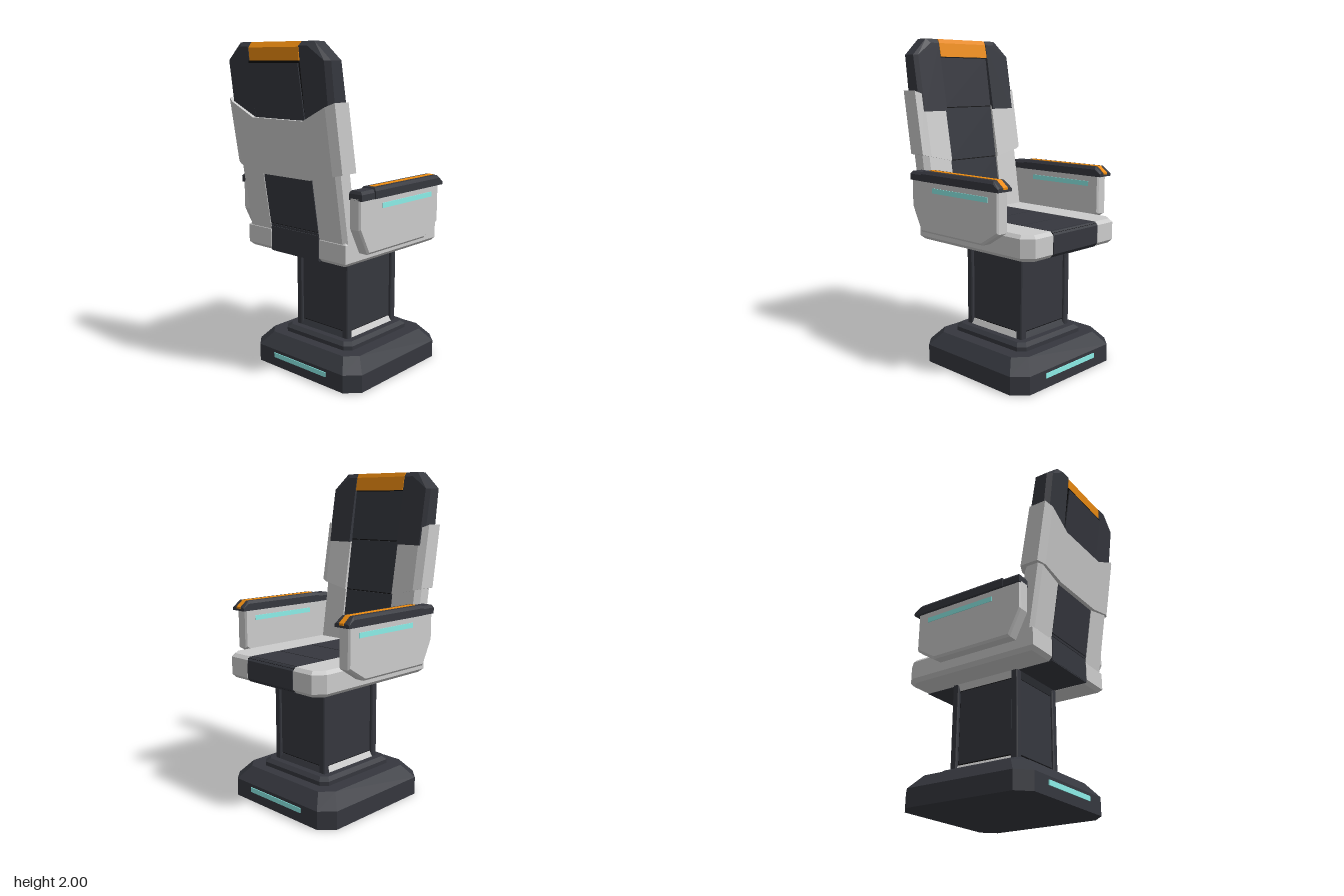
import * as THREE from 'three';
import { ConvexGeometry } from 'three/addons/geometries/ConvexGeometry.js';

const mat = (color) => new THREE.MeshStandardMaterial({ color, flatShading: true });
const grey = mat(0xcccccc), dark = mat(0x35373e), black = mat(0x0c0c0e);
const orange = mat(0xec8b10), teal = mat(0x8ceee8);

export function createModel() {
  const model = new THREE.Group();

  const add = (name, geometry, material) => {
    const mesh = new THREE.Mesh(geometry, material);
    mesh.name = name;
    model.add(mesh);
    return mesh;
  };
  // Convex solid from corner points [x, y, z]
  const hull = (name, material, pts) =>
    add(name, new ConvexGeometry(pts.map((p) => new THREE.Vector3(...p))), material);
  // Box given by its limits
  const box = (name, material, x0, x1, y0, y1, z0, z1) => {
    const g = new THREE.BoxGeometry(x1 - x0, y1 - y0, z1 - z0);
    return add(name, g.translate((x0 + x1) / 2, (y0 + y1) / 2, (z0 + z1) / 2), material);
  };
  // Stack of corner-cut rectangles [y, halfX, halfZ, cut] around a vertical axis
  const tier = (name, material, cx, layers) =>
    hull(name, material, layers.flatMap(([y, hx, hz, c]) =>
      [-1, 1].flatMap((i) => [-1, 1].flatMap((k) => [
        [cx + i * hx, y, k * (hz - c)], [cx + i * (hx - c), y, k * hz]]))));

  // Base and plinth
  const cx = 0.073;
  tier('base', dark, cx, [[0, 0.435, 0.435, 0.08], [0.11, 0.435, 0.435, 0.08], [0.19, 0.365, 0.365, 0.07]]);
  tier('plinth', dark, cx, [[0.18, 0.3, 0.28, 0.04], [0.215, 0.3, 0.28, 0.04], [0.235, 0.275, 0.255, 0.035]]);
  for (const s of [-1, 1]) {
    const x = cx + s * 0.436;
    box('baseLight', teal, x - 0.004, x + 0.004, 0.06, 0.09, -0.22, 0.22);
  }

  // Column: core, corner posts, sloped rails and framed panels
  box('columnCore', black, cx - 0.215, cx + 0.215, 0.23, 0.78, -0.195, 0.195);
  for (const s of [-1, 1]) {
    for (const t of [-1, 1]) {
      const px = cx + s * 0.213, pz = t * 0.193;
      tier('columnPost', dark, 0, [[0.23, 0.022, 0.022, 0.006], [0.78, 0.022, 0.022, 0.006]])
        .position.set(px, 0, pz);
    }
    const zPanel = s * 0.195, xPanel = cx + s * 0.215;
    box('sidePanel', dark, cx - 0.185, cx + 0.185, 0.275, 0.725, zPanel - 0.006, zPanel + 0.006);
    box('endPanel', dark, xPanel - 0.006, xPanel + 0.006, 0.275, 0.725, -0.17, 0.17);
    for (const [y, yIn] of [[0.235, 0.268], [0.77, 0.732]]) {
      hull('sideRail', grey, [-1, 1].flatMap((i) => [
        [cx + i * 0.21, y, s * 0.215], [cx + i * 0.19, yIn, s * 0.198],
        [cx + i * 0.21, y, s * 0.18], [cx + i * 0.19, yIn, s * 0.18]]));
      hull('endRail', dark, [-1, 1].flatMap((k) => [
        [cx + s * 0.235, y, k * 0.19], [cx + s * 0.217, yIn, k * 0.172],
        [cx + s * 0.2, y, k * 0.19], [cx + s * 0.2, yIn, k * 0.172]]));
    }
  }

  // Seat sides, bevelled at top and bottom, cut at the front corner
  for (const s of [-1, 1]) {
    const outline = (y, d) => [[-0.39 + d, 0.2], [0.535 - d, 0.2], [0.535 - d, 0.345 - d * 0.5],
      [0.47 - d * 0.5, 0.4 - d], [-0.39 + d, 0.4 - d]].map(([x, z]) => [x, y, s * z]);
    hull('seatSide', grey, [...outline(0.77, 0.022), ...outline(0.792, 0),
      ...outline(0.9, 0), ...outline(0.92, 0.02)]);
  }

  // Seat cushion panels with dark grooves between them
  box('seatCore', black, -0.38, 0.527, 0.78, 0.912, -0.2, 0.2);
  box('seatUnderside', dark, -0.388, 0.52, 0.77, 0.79, -0.195, 0.195);
  for (const [x0, x1] of [[-0.32, 0.011], [0.019, 0.281], [0.289, 0.5]]) {
    box('seatPanel', dark, x0, x1, 0.89, 0.92, -0.195, 0.195);
  }
  hull('seatNose', dark, [-0.195, 0.195].flatMap((z) => [[0.508, 0.92, z], [0.518, 0.92, z],
    [0.537, 0.9, z], [0.537, 0.792, z], [0.518, 0.77, z], [0.508, 0.77, z]]));

  // Leaning lines of the backrest
  const frontX = (y) => -0.37 - (y - 1.685) * 0.17;
  const backX = (y) => -0.39 - (y - 0.92) * 0.158;
  const stripX = (y) => Math.min(frontX(y), -0.275 - (y - 0.92) * 0.145);
  const slab = (name, material, y0, y1, hz, inset) =>
    hull(name, material, [y0, y1].flatMap((y) => [-hz, hz].flatMap((z) =>
      [[stripX(y) - inset, y, z], [backX(y) + inset, y, z]])));

  // Centre strip of the backrest
  slab('backCore', black, 0.85, 1.9, 0.2, 0.007);
  for (const [y0, y1] of [[0.925, 0.938], [0.944, 1.247], [1.253, 1.575], [1.581, 1.886]]) {
    slab('backPanel', dark, y0, y1, 0.195, 0);
  }
  box('backFoot', dark, -0.39, -0.3, 0.775, 0.922, -0.195, 0.195);

  // Headrest cap
  hull('headrestCap', orange, [-0.196, 0.196].flatMap((z) => [
    [frontX(1.892), 1.892, z], [-0.421, 1.975, z], [-0.433, 2, z],
    [-0.515, 2, z], [-0.538, 1.97, z], [-0.532, 1.892, z]]));

  for (const s of [-1, 1]) {
    // Lower back shell
    hull('lowerBack', grey, [0.85, 1.31].flatMap((y) => [
      [stripX(y) + 0.006, y, 0.2], [stripX(y) + 0.006, y, 0.37], [stripX(y) - 0.025, y, 0.4],
      [backX(y) + 0.02, y, 0.4], [backX(y), y, 0.375], [backX(y), y, 0.2]
    ].map(([x, yy, z]) => [x, yy, s * z])));

    // Headrest side with cut shoulder
    const shoulder = [[1.56, 0.2], [1.56, 0.4], [1.9, 0.4], [2, 0.29], [2, 0.2]];
    hull('headrestSide', dark, shoulder.flatMap(([y, z]) => {
      const dz = z > 0.2 ? 0.025 : 0, dy = y === 2 ? 0.025 : 0;
      const f = frontX(y - dy), b = -0.505 - (y - dy - 1.685) * 0.12;
      return [[f, y - dy, s * (z - dz)], [f - 0.018, y, s * z],
        [b + 0.028, y, s * z], [b, y - dy, s * (z - dz)]];
    }));

    // Upper wing, wrapping round from front to rear
    const wing = [[0.2, 1.25, 1.58], [0.37, 1.288, 1.663], [0.42, 1.3, 1.685]];
    hull('backWing', grey, wing.flatMap(([z, lo, hi], i) => [lo, hi].flatMap((y) => [
      [frontX(y) - [0.012, 0, 0.02][i], y, s * z],
      [backX(y) - [0.022, 0.014, -0.012][i], y, s * z]])));
  }
  // Rear plate joining the wings
  hull('rearPlate', grey, [1.25, 1.58].flatMap((y) => [-0.2, 0.2].flatMap((z) =>
    [[backX(y) - 0.022, y, z], [backX(y) + 0.02, y, z]])));

  // Armrests
  const armOutline = [[-0.36, 1.165], [-0.36, 0.99], [-0.285, 0.84], [0.25, 0.84], [0.378, 0.92], [0.378, 1.165]];
  for (const s of [-1, 1]) {
    const layer = (z, k) => armOutline.map(([x, y]) =>
      [0.01 + (x - 0.01) * k, 1.165 + (y - 1.165) * (2 * k - 1), s * z]);
    hull('armBody', grey, [...layer(0.398, 0.98), ...layer(0.41, 1), ...layer(0.467, 1), ...layer(0.479, 0.98)]);

    for (const z of [0.398, 0.479]) {
      box('armLight', teal, -0.168, 0.303, 1.09, 1.12, s * z - 0.004, s * z + 0.004);
    }

    // Pad with a sloped nose and a slightly slimmer rear
    const pad = (name, x0, x1, nose, z0, z1, top) => hull(name, dark, [z0, z1].flatMap((z, i) => {
      const zi = z + (i ? -0.014 : 0.014);
      return [[x0, 1.155, s * z], [x1, 1.155, s * z], [x0, top - 0.017, s * z],
        [x1, 1.172, s * z], [x1 - nose, top - 0.017, s * z],
        [x0 + 0.008, top, s * zi], [x1 - nose - 0.008, top, s * zi], [x1, 1.178, s * zi]];
    }));
    pad('armPad', -0.25, 0.4, 0.04, 0.39, 0.497, 1.216);
    pad('armPadRear', -0.36, -0.2, 0, 0.396, 0.491, 1.208);

    // Inlay following the pad top and nose
    const inlay = [[-0.22, 1.2185], [0.352, 1.2185], [0.402, 1.18], [0.402, 1.168], [0.39, 1.168], [-0.22, 1.2]];
    hull('armInlay', orange, [0.424, 0.458].flatMap((z) => inlay.map(([x, y]) => [x, y, s * z])));
  }

  return model;
}
